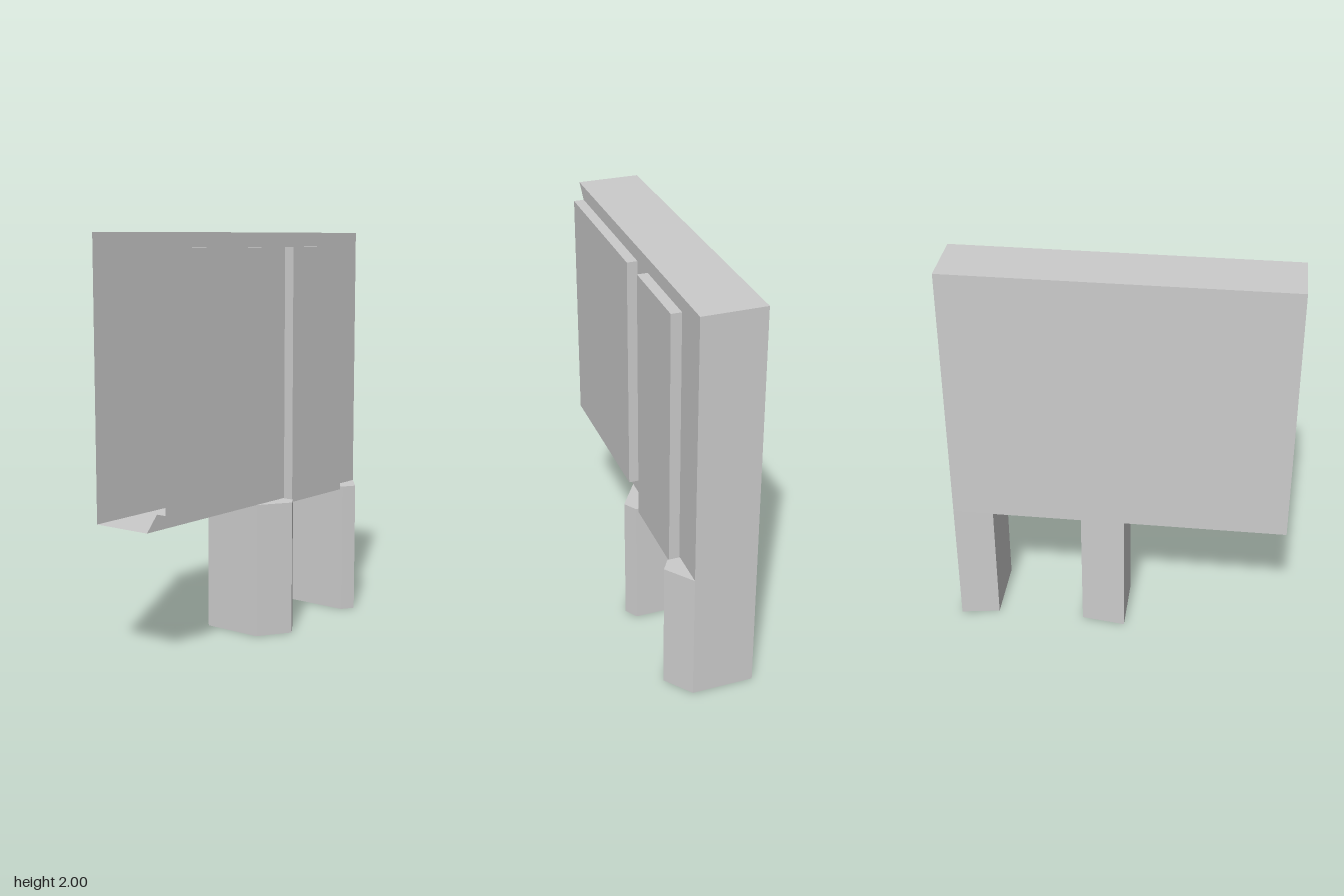
import * as THREE from 'three';

const material = new THREE.MeshStandardMaterial({
  color: 0xcccccc, flatShading: true, side: THREE.DoubleSide,
});

// Face order of BoxGeometry, used to leave chosen sides open
const FACES = ['+x', '-x', '+y', '-y', '+z', '-z'];

function makeMesh(name, geometry) {
  const mesh = new THREE.Mesh(geometry, material);
  mesh.name = name;
  return mesh;
}

// Box between two corners, with the listed sides left open
function openBox(name, [x0, y0, z0], [x1, y1, z1], open = []) {
  const geometry = new THREE.BoxGeometry(x1 - x0, y1 - y0, z1 - z0);
  geometry.translate((x0 + x1) / 2, (y0 + y1) / 2, (z0 + z1) / 2);
  const index = Array.from(geometry.index.array);
  geometry.setIndex(index.filter((_, i) => !open.includes(FACES[Math.floor(i / 6)])));
  geometry.clearGroups();
  return makeMesh(name, geometry);
}

function makeShape(points) {
  return new THREE.Shape(points.map(([x, y]) => new THREE.Vector2(x, y)));
}

// Upright prism from a plan outline of [x, z] points
function makeLeg(name, plan, height) {
  const geometry = new THREE.ExtrudeGeometry(
    makeShape(plan.map(([x, z]) => [x, -z])), { depth: height, bevelEnabled: false });
  geometry.rotateX(-Math.PI / 2);
  return makeMesh(name, geometry);
}

export function createModel() {
  const model = new THREE.Group();
  model.name = 'panelBlock';

  const W = 0.835, BOTTOM = 0.67, TOP = 2, BACK = -0.205, FRONT = 0.103, RAISED = 0.154;
  const px0 = -0.767, px1 = 0.06, py0 = 0.745, py1 = 1.93;

  // Hollow body, open on its -x end and behind the wide panel
  model.add(openBox('bodyShell', [-W, BOTTOM, BACK], [W, TOP, FRONT], ['-x', '+z']));

  // Front wall, wrapped around three sides of the wide panel with mitred ends
  const wall = new THREE.ShapeGeometry(makeShape([
    [-W, TOP], [px0, py1], [px1, py1], [px1, py0],
    [px0, py0], [-W, BOTTOM], [W, BOTTOM], [W, TOP],
  ]));
  wall.translate(0, 0, FRONT);
  model.add(makeMesh('frontWall', wall));

  // Raised front panels
  model.add(openBox('widePanel', [px0, py0, FRONT], [px1, py1, RAISED], ['-x', '-z']));
  model.add(openBox('narrowPanel', [0.2, 0.655, FRONT], [0.632, py1, RAISED]));

  // Legs with a pointed front and slanted back
  model.add(makeLeg('middleLeg', [
    [-0.03, BACK], [0.192, -0.175], [0.192, 0.165], [0.13, 0.205], [-0.03, FRONT],
  ], BOTTOM));
  model.add(makeLeg('outerLeg', [
    [0.64, -0.175], [W, BACK], [W, FRONT], [0.703, 0.205], [0.64, 0.165],
  ], BOTTOM));

  return model;
}
